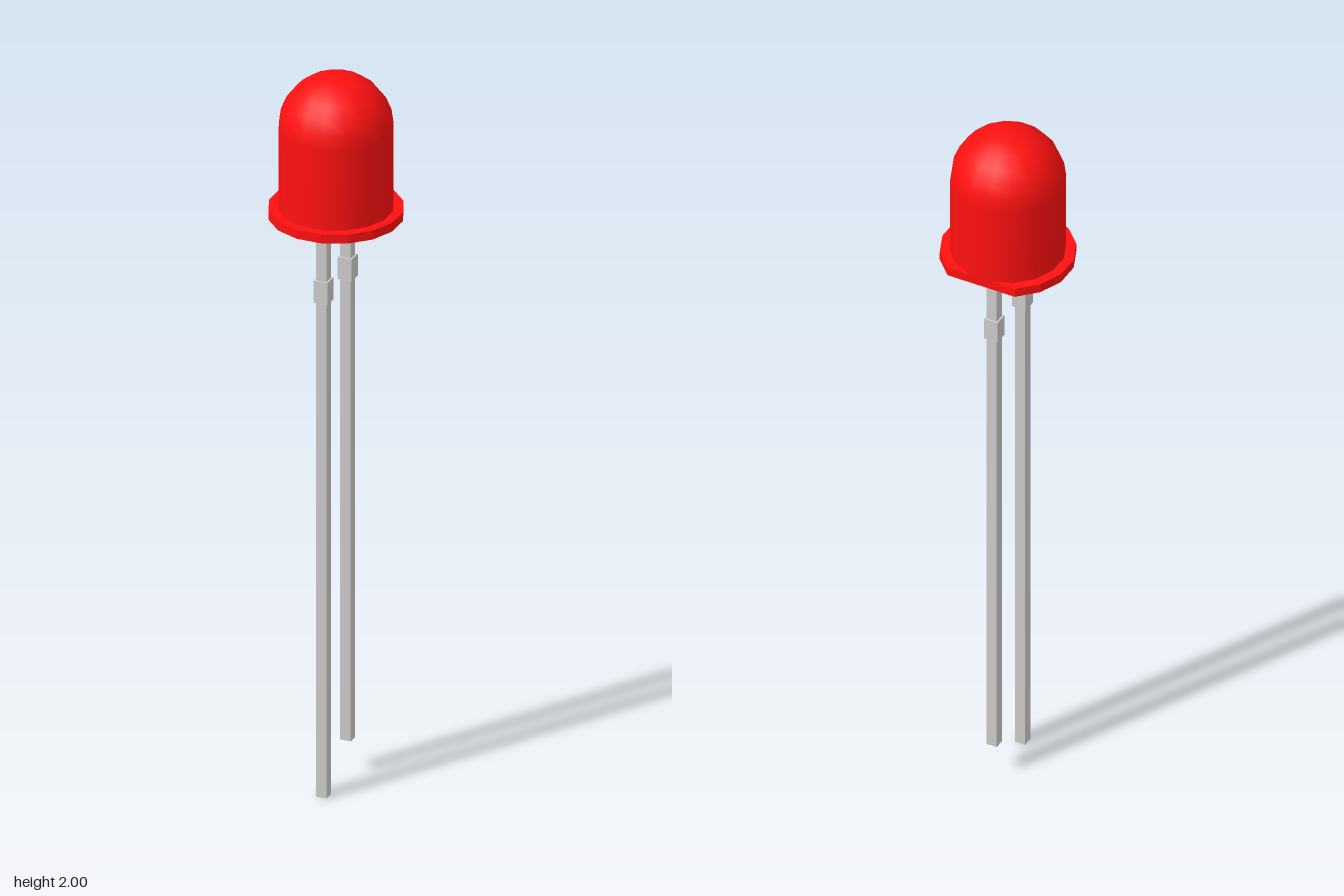
import * as THREE from 'three';

const SIDES = 16;
const BASE_Y = 1.605;   // underside of the flange
const FLANGE_TOP = 1.63;

export function createModel() {
  const model = new THREE.Group();
  model.name = 'lightEmittingDiode';
  const red = new THREE.MeshStandardMaterial({ color: 0xff1010 });
  const metal = new THREE.MeshStandardMaterial({ color: 0xcccccc });

  const add = (parent, name, geometry, material, x, y, z) => {
    const mesh = new THREE.Mesh(geometry, material);
    mesh.name = name;
    mesh.position.set(x, y, z);
    parent.add(mesh);
    return mesh;
  };

  // Lens: straight wall running into a hemispherical dome
  const radius = 0.149, domeHeight = 0.147, domeY = 2 - domeHeight;
  const profile = [new THREE.Vector2(radius, FLANGE_TOP - 0.005)];
  const rings = 6;
  for (let i = 0; i <= rings; i++) {
    const a = (i / rings) * Math.PI / 2;
    profile.push(new THREE.Vector2(
      i === rings ? 0 : radius * Math.cos(a),
      domeY + domeHeight * Math.sin(a)));
  }
  add(model, 'lens', new THREE.LatheGeometry(profile, SIDES, Math.PI / SIDES), red, 0, 0, 0);

  // Flange: sixteen-sided rim with a flat cut across the back
  const outline = [];
  for (let i = 0; i < SIDES; i++) {
    if (i === 3 || i === 4) continue; // corners removed by the flat
    const a = ((i + 0.5) / SIDES) * Math.PI * 2;
    outline.push(new THREE.Vector2(0.175 * Math.cos(a), 0.175 * Math.sin(a)));
  }
  const flange = new THREE.ExtrudeGeometry(new THREE.Shape(outline),
    { depth: FLANGE_TOP - BASE_Y, bevelEnabled: false });
  flange.rotateX(-Math.PI / 2);
  add(model, 'flange', flange, red, 0, BASE_Y, 0);

  // Leads: square wires with a thicker crimp near the top; the front one is longer
  const addLead = (name, z, bottom) => {
    const lead = new THREE.Group();
    lead.name = name;
    const height = BASE_Y - bottom;
    add(lead, name + 'Wire', new THREE.BoxGeometry(0.029, height, 0.029), metal,
      0, bottom + height / 2, z);
    add(lead, name + 'Crimp', new THREE.BoxGeometry(0.039, 0.062, 0.039), metal,
      0, 1.427, z);
    model.add(lead);
  };
  addLead('longLead', 0.079, 0);
  addLead('shortLead', -0.074, 0.095);

  // Centre the flattened outline in depth
  for (const part of model.children) part.position.z -= 0.0143;
  return model;
}
